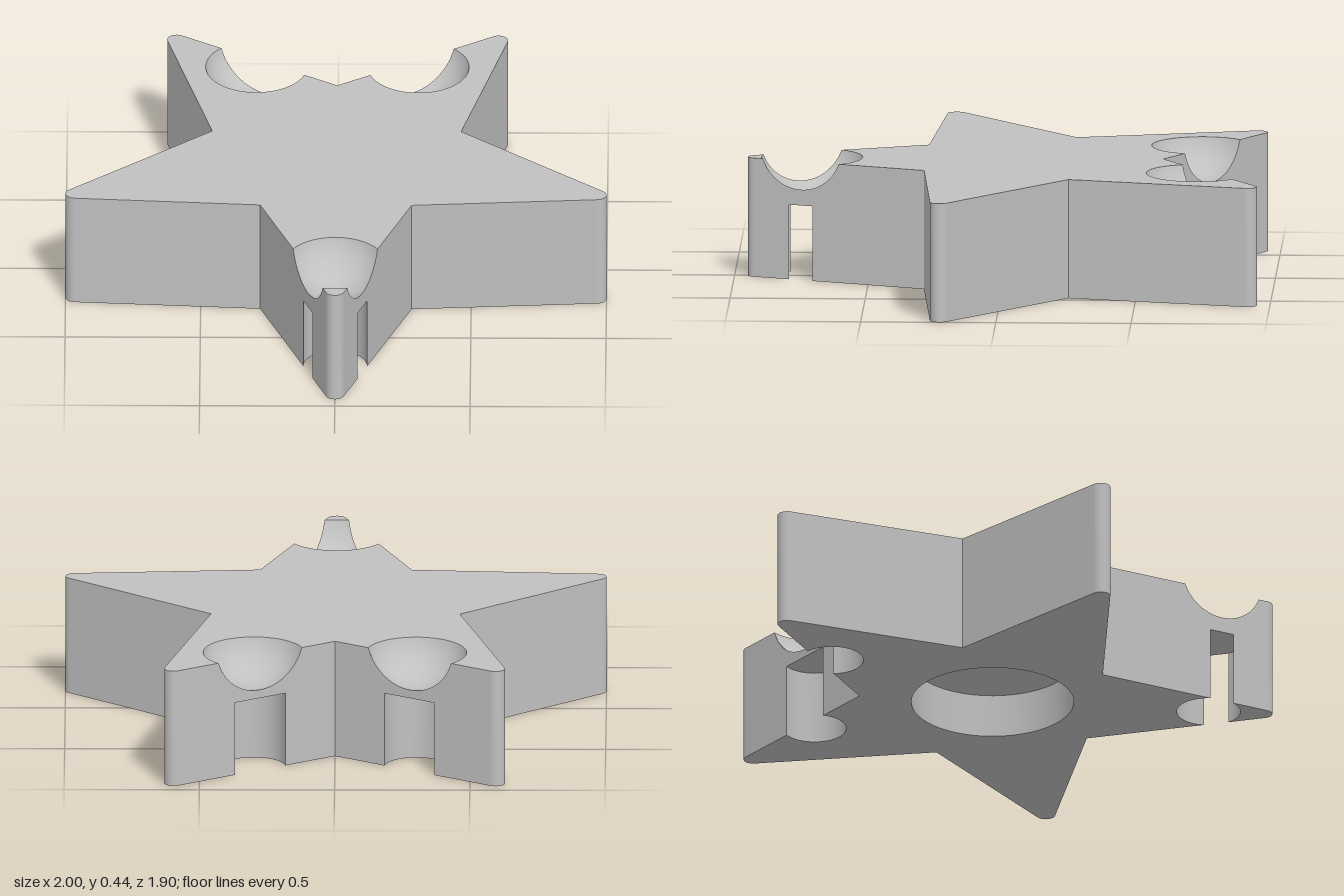
import * as THREE from 'three';

const H = 0.445;                        // plate height
const BORE_R = 0.118, BORE_H = 0.28;    // holes drilled up into the arms
const DISH_R = 0.187, DISH_RISE = 0.057; // rim radius, sphere centre above the top
const BALL_R = Math.hypot(DISH_R, DISH_RISE);
const RECESS_R = 0.3, RECESS_H = 0.165;
const TIP_R = 0.035;

// Plan points hold (x, z); angles run from +z towards +x
const V = (x, z) => new THREE.Vector2(x, z);
const flipX = (p) => V(-p.x, p.y);
const mirror = (pts) => pts.map(flipX).reverse();
const angle = (c, p) => Math.atan2(p.x - c.x, p.y - c.y);
const arc = (c, r, a0, a1, n = 48) => Array.from({ length: n + 1 }, (_, i) => {
  const a = a0 + (a1 - a0) * i / n;
  return V(c.x + r * Math.sin(a), c.y + r * Math.cos(a));
});

// Half star, walked from the front tip to the back notch
const inner = [V(0.28, 0.29), V(0.46, -0.25), V(0, -0.585)];
const tips = [V(0, 0.915), V(0.965, 0.21), V(0.595, -0.917)];
const holes = { front: V(0, 0.713), back: V(0.3, -0.72) };

const tipArcs = tips.map((c, i) => {
  const touch = (p) => Math.acos(TIP_R / c.distanceTo(p));
  const start = i ? angle(c, inner[i - 1]) + touch(inner[i - 1]) : 0;
  let end = angle(c, inner[i]) - touch(inner[i]);
  while (end < start) end += Math.PI * 2;
  return arc(c, TIP_R, start, end, 12);
});
const last = (a) => a[a.length - 1];

// Where a circle cuts a straight edge
function cut(A, B, c, r) {
  const u = B.clone().sub(A).normalize();
  const rel = c.clone().sub(A);
  const t = rel.dot(u), d2 = rel.lengthSq() - t * t, k = Math.sqrt(r * r - d2);
  const at = (s) => A.clone().addScaledVector(u, s);
  return { t, d2, k, p: at(t - k), q: at(t + k) };
}

// Arcs that circles of radius r leave inside the star
function arcsFor(r) {
  const f = cut(last(tipArcs[0]), inner[0], holes.front, r);
  const b = cut(last(tipArcs[2]), inner[2], holes.back, r);
  const ap = angle(holes.front, f.p), aq = angle(holes.front, f.q);
  return {
    tip: arc(holes.front, r, ap, -ap, 24),
    tipHalf: arc(holes.front, r, ap, 0, 12),
    body: arc(holes.front, r, Math.PI * 2 - aq, aq),
    bodyHalf: arc(holes.front, r, Math.PI, aq, 24),
    back: arc(holes.back, r, angle(holes.back, b.p), angle(holes.back, b.q)),
  };
}

// Cap outlines: the main body and the separate front tip
const full = (half) => [...half, ...mirror(half).slice(1, -1)];
function outlines(r) {
  const a = arcsFor(r);
  return {
    body: full([...a.bodyHalf, inner[0], ...tipArcs[1], inner[1], ...tipArcs[2], ...a.back, inner[2]]),
    tip: full([...tipArcs[0], ...a.tipHalf]),
  };
}

// Flat face at height y, facing up or down
function flat(pts, y, up, hole) {
  const s = up ? -1 : 1;
  const shape = new THREE.Shape(pts.map((p) => V(p.x, p.y * s)));
  if (hole) shape.holes.push(new THREE.Path(hole.map((p) => V(p.x, p.y * s))));
  return new THREE.ShapeGeometry(shape).rotateX(s * Math.PI / 2).translate(0, y, 0);
}

// Smooth upright wall along a line of plan points
function ribbon(pts, height) {
  const pos = [], idx = [];
  pts.forEach((p, i) => {
    pos.push(p.x, 0, p.y, p.x, height, p.y);
    const a = 2 * i;
    if (i < pts.length - 1) idx.push(a, a + 2, a + 1, a + 1, a + 2, a + 3);
  });
  const g = new THREE.BufferGeometry();
  g.setAttribute('position', new THREE.Float32BufferAttribute(pos, 3));
  g.setIndex(idx);
  g.computeVertexNormals();
  return g;
}

// Straight side wall, with a slot below and a dip above where a hole breaks through
function wall(A, B, c) {
  const L = A.distanceTo(B);
  const pts = [V(0, 0)];
  if (c) {
    const { t, k } = cut(A, B, c, BORE_R);
    pts.push(V(t - k, 0), V(t - k, BORE_H), V(t + k, BORE_H), V(t + k, 0));
  }
  pts.push(V(L, 0), V(L, H));
  if (c) {
    const { t, k, d2 } = cut(A, B, c, DISH_R);
    for (let i = 0; i <= 32; i++) {
      const s = k * (1 - i / 16);
      pts.push(V(t + s, H + DISH_RISE - Math.sqrt(BALL_R ** 2 - d2 - s * s)));
    }
  }
  pts.push(V(0, H));
  const u = B.clone().sub(A).normalize();
  const m = new THREE.Matrix4().makeBasis(
    new THREE.Vector3(u.x, 0, u.y), new THREE.Vector3(0, 1, 0), new THREE.Vector3(-u.y, 0, u.x),
  ).setPosition(A.x, 0, A.y);
  return new THREE.ShapeGeometry(new THREE.Shape(pts)).applyMatrix4(m);
}

// Part of a ball-shaped hollow inside a plan loop
function dish(c, loop) {
  const rings = 14, n = loop.length, pos = [], nor = [], idx = [];
  for (let k = 0; k <= rings; k++) {
    loop.forEach((p, i) => {
      const dx = (p.x - c.x) * k / rings, dz = (p.y - c.y) * k / rings;
      const dy = Math.sqrt(BALL_R ** 2 - dx * dx - dz * dz);
      pos.push(c.x + dx, H + DISH_RISE - dy, c.y + dz);
      nor.push(-dx / BALL_R, dy / BALL_R, -dz / BALL_R);
      if (k === rings) return;
      const a = k * n + i, b = k * n + (i + 1) % n;
      idx.push(a, b + n, a + n);
      if (k) idx.push(a, b, b + n);
    });
  }
  const g = new THREE.BufferGeometry();
  g.setAttribute('position', new THREE.Float32BufferAttribute(pos, 3));
  g.setAttribute('normal', new THREE.Float32BufferAttribute(nor, 3));
  g.setIndex(idx);
  return g;
}

// Points strictly between two ends of a chord
const chord = (a, b, n = 32) => Array.from({ length: n - 1 }, (_, i) => a.clone().lerp(b, (i + 1) / n));

export function createModel() {
  const model = new THREE.Group();
  model.name = 'starHolder';
  const grey = new THREE.MeshStandardMaterial({ color: 0xc0c0c0 });
  grey.name = 'lightGrey';
  const add = (name, ...geos) => {
    const group = new THREE.Group();
    group.name = name;
    for (const g of geos) {
      const mesh = new THREE.Mesh(g, grey);
      mesh.name = name;
      group.add(mesh);
    }
    model.add(group);
  };

  // Top and bottom faces
  const recess = arc(V(0, -0.09), RECESS_R, Math.PI * 2, 0, 96);
  const top = outlines(DISH_R), bottom = outlines(BORE_R);
  add('topFace', flat(top.body, H, true), flat(top.tip, H, true));
  add('bottomFace', flat(bottom.body, 0, false, recess.slice(0, -1)), flat(bottom.tip, 0, false));

  // Side walls, both halves
  const cutBy = [holes.front, null, holes.back];
  inner.forEach((p, i) => {
    const from = last(tipArcs[i]);
    const edges = [[from, p, cutBy[i]]];
    if (i < 2) edges.push([p, tipArcs[i + 1][0], null]);
    for (const [A, B, c] of edges) {
      add('sideWall', wall(A, B, c), wall(flipX(B), flipX(A), c && flipX(c)));
    }
  });

  // Rounded arm tips
  add('frontTip', ribbon([...mirror(tipArcs[0]), ...tipArcs[0].slice(1)], H));
  for (const a of tipArcs.slice(1)) add('armTip', ribbon(a, H), ribbon(mirror(a), H));

  // Bores from below, with their ceilings
  const b = arcsFor(BORE_R);
  add('frontBore', ribbon(b.tip, BORE_H), ribbon(b.body, BORE_H), flat([...b.tip, ...b.body], BORE_H, false));
  for (const a of [b.back, mirror(b.back)]) add('backBore', ribbon(a, BORE_H), flat(a, BORE_H, false));

  // Ball-shaped dishes in the top
  const d = arcsFor(DISH_R);
  add('frontDish', dish(holes.front, [
    ...d.tip, ...chord(last(d.tip), d.body[0]), ...d.body, ...chord(last(d.body), d.tip[0]),
  ]));
  const backLoop = [...d.back, ...chord(last(d.back), d.back[0])];
  add('backDish', dish(holes.back, backLoop), dish(flipX(holes.back), mirror(backLoop)));

  // Round recess under the middle
  add('recess', ribbon(recess, RECESS_H), flat(recess.slice(0, -1), RECESS_H, false));
  return model;
}
